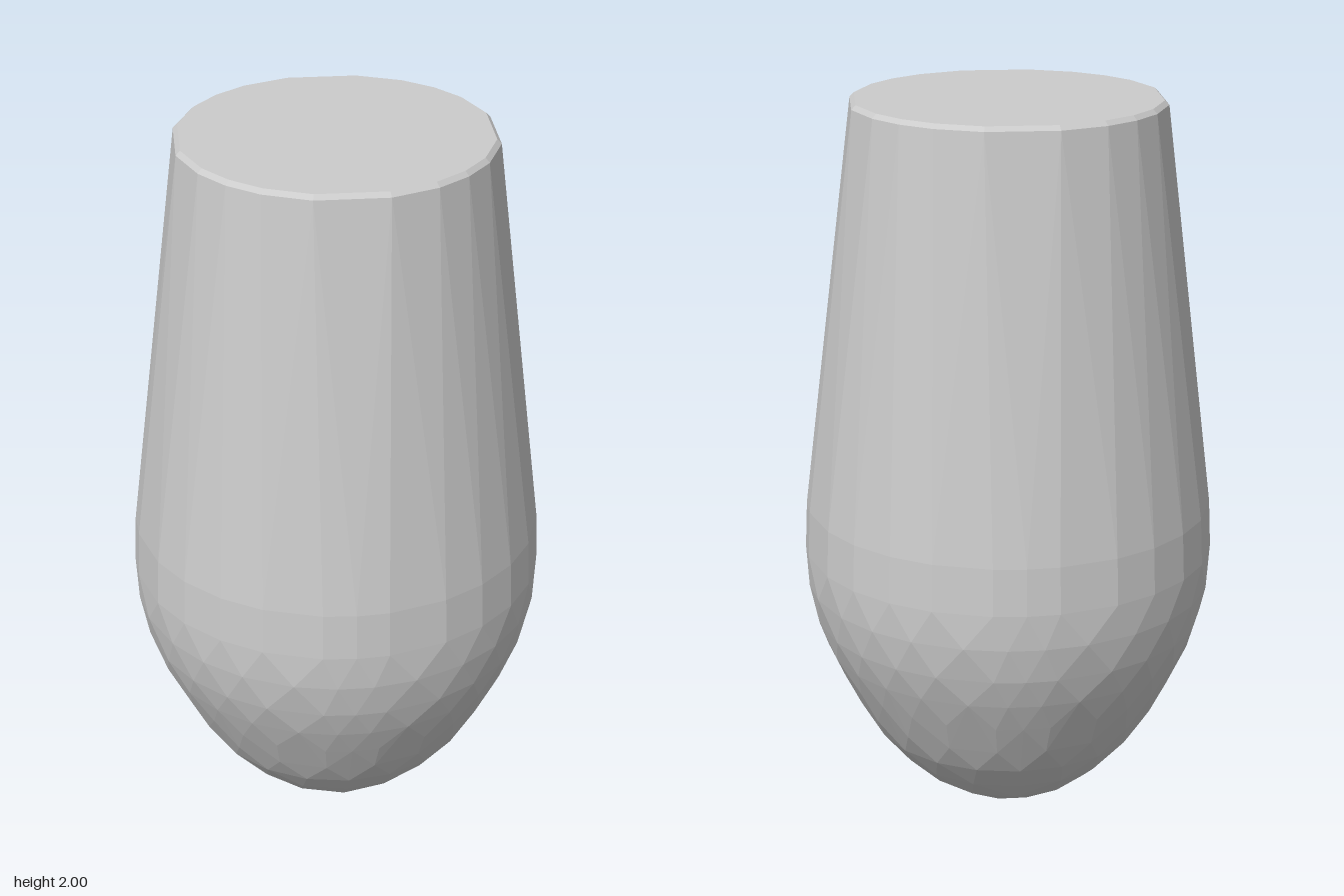
import * as THREE from 'three';
import { ConvexGeometry } from 'three/addons/geometries/ConvexGeometry.js';

// Four-fold ring: angles (degrees) within one quadrant, repeated around y
function ring(radius, y, angles, turn = 0) {
  const points = [];
  for (let q = 0; q < 4; q++) {
    for (const deg of angles) {
      const a = THREE.MathUtils.degToRad(deg + q * 90 + turn);
      points.push(new THREE.Vector3(radius * Math.sin(a), y, radius * Math.cos(a)));
    }
  }
  return points;
}

export function createModel() {
  const group = new THREE.Group();
  const material = new THREE.MeshStandardMaterial({ color: 0xcccccc, flatShading: true });

  const wide = [6.6, 19.4, 36, 45, 54, 70.6, 83.4];
  const shifted = [0, 13, 28, 40, 50, 62, 77];
  const medium = [0, 18, 36, 54, 72];
  const rim = [0, 14, 32, 58, 76];

  const points = [
    // flat foot and rounded, faceted bowl
    ...ring(0.155, 0, [0, 30, 60]),
    ...ring(0.24, 0.05, [15, 45, 75]),
    ...ring(0.315, 0.12, [0, 22, 45, 68]),
    ...ring(0.382, 0.2, medium, 9),
    ...ring(0.43, 0.28, medium),
    ...ring(0.475, 0.37, wide),
    ...ring(0.515, 0.455, shifted),
    ...ring(0.545, 0.54, wide),
    ...ring(0.565, 0.64, shifted),
    ...ring(0.57, 0.74, wide),
    ...ring(0.564, 0.87, wide),
    // tapering wall and narrow bevel round the flat top
    ...ring(0.43, 1.988, rim),
    ...ring(0.418, 2, rim),
  ];

  const body = new THREE.Mesh(new ConvexGeometry(points), material);
  body.name = 'body';
  group.add(body);
  return group;
}
